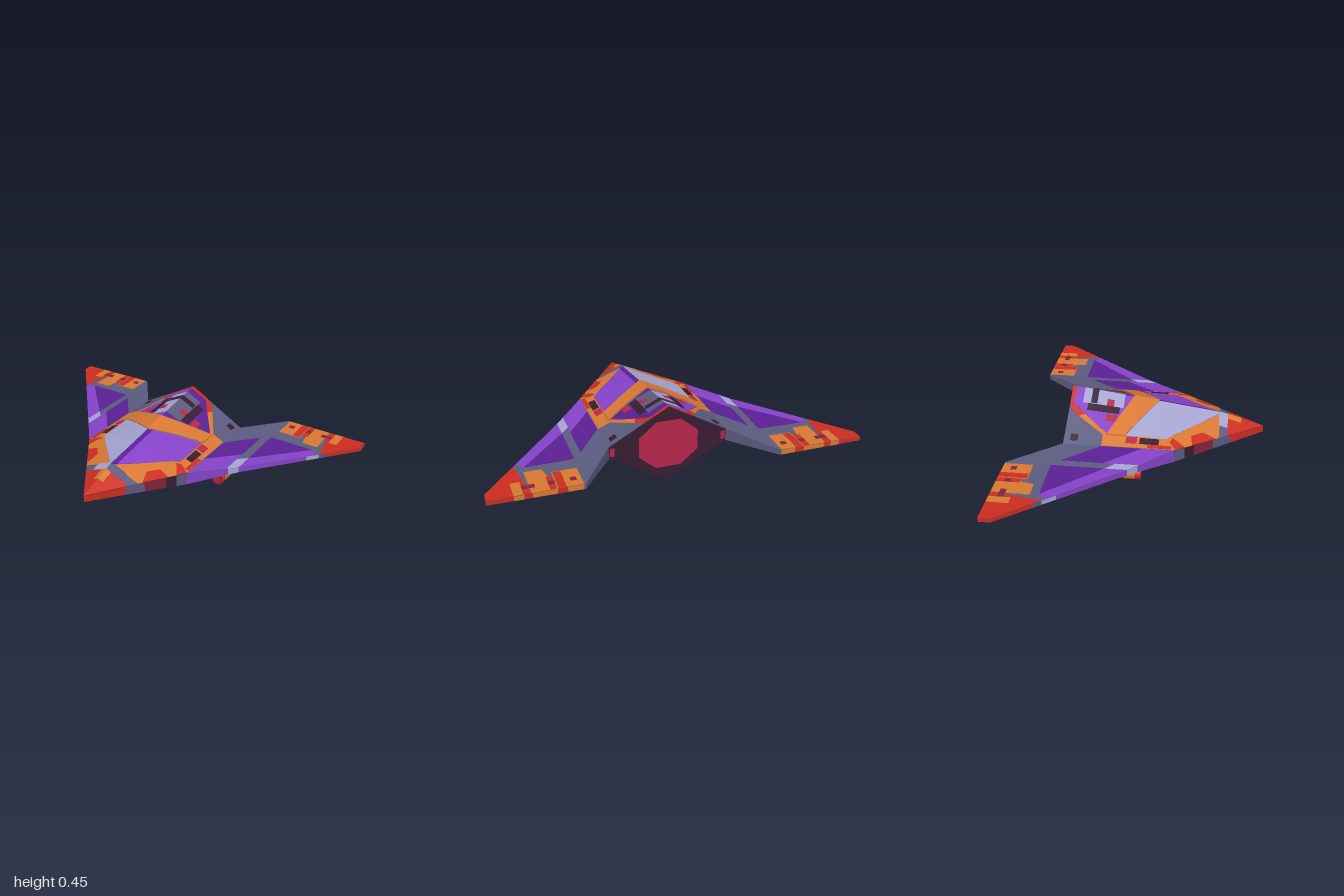
import * as THREE from 'three';

const paint = (name, color) => {
  const m = new THREE.MeshStandardMaterial({ color });
  m.name = name;
  return m;
};
const slate = paint('slate', 0x5b5b7f), violet = paint('violet', 0x8542c8), indigo = paint('indigo', 0x5a2094);
const lavender = paint('lavender', 0xa4a4d0), orange = paint('orange', 0xd87833), red = paint('red', 0xcc2c20);
const plum = paint('plum', 0x371d31), crimson = paint('crimson', 0xb6264a), maroon = paint('maroon', 0x84223c);

const { lerp, clamp } = THREE.MathUtils;

// Hull outline along z: half width, ridge, upper rim, lower rim and keel
const noseT = z => clamp((0.675 - z) / 0.475, 0, 1);
const halfWidth = z => 0.33 * noseT(z);
const ridge = z => (z > 0.44 ? 0.255 + 0.298 * (0.675 - z) : 0.325 + 0.141 * (0.44 - z));
const rimTop = z => lerp(0.255, 0.26, noseT(z));
const rimLow = z => lerp(0.22, 0.19, noseT(z));
const keel = z => 0.22 - 0.2028 * (0.675 - z);

// Wing skins and leading edge along x
const bend = (x, root, kink, tip) => (x < 0.52 ? lerp(root, kink, (x - 0.33) / 0.19) : lerp(kink, tip, (x - 0.52) / 0.48));
const lead = x => [x, 0.2 - (x - 0.33) * 1.224];
const bow = z => [halfWidth(z), z];

const across = (x, z) => clamp(x / Math.max(halfWidth(z), 1e-6), 0, 1);
const topY = (x, z) => (x > 0.33 ? bend(x, 0.26, 0.24, 0.235) : lerp(ridge(z), rimTop(z), across(x, z)));
const lowY = (x, z) => (x > 0.33 ? bend(x, 0.19, 0.21, 0.213) : lerp(keel(z), rimLow(z), across(x, z)));

// Faceted surface from a rule f(i, j) that returns a point
function grid(nu, nv, f, flip) {
  const pos = [];
  for (let i = 0; i < nu; i++) for (let j = 0; j < nv; j++) {
    const a = f(i, j), b = f(i + 1, j), c = f(i + 1, j + 1), d = f(i, j + 1);
    pos.push(...(flip ? [a, c, b, a, d, c] : [a, b, c, a, c, d]).flat());
  }
  const g = new THREE.BufferGeometry();
  g.setAttribute('position', new THREE.Float32BufferAttribute(pos, 3));
  g.computeVertexNormals();
  return g;
}

function add(parent, name, geo, mat) {
  const m = new THREE.Mesh(geo, mat);
  m.name = name;
  parent.add(m);
}

// Thin plate that follows the upper (up = 1) or lower (up = -1) skin between 3 or 4 [x, z] corners
function plate(parent, s, up, name, mat, layer, [A, B, C, D = C]) {
  const n = 8, skin = up > 0 ? topY : lowY;
  const at = (i, j, h) => {
    const [x, z] = [0, 1].map(k => lerp(lerp(A[k], B[k], i / n), lerp(D[k], C[k], i / n), j / n));
    return [s * x, skin(x, z) + up * h, z];
  };
  const turn = (B[1] - A[1]) * (C[0] - A[0]) - (B[0] - A[0]) * (C[1] - A[1]);
  const flip = turn * s * up < 0, thick = layer * 0.002;
  add(parent, name, grid(n, n, (i, j) => at(i, j, thick), flip), mat);
  const corner = k => [[0, 0], [n, 0], [n, n], [0, n]][k % 4];
  add(parent, name + 'Rim', grid(4, 1, (k, j) => at(...corner(k), j * thick), flip), mat);
}

const rect = (x0, x1, z0, z1) => [[x0, z0], [x1, z0], [x1, z1], [x0, z1]];

// Coloured strip on the outer edge, running from a to b
function edgeStrip(parent, s, name, mat, a, b) {
  const dx = b[0] - a[0], dz = b[1] - a[1], k = 0.002 / Math.hypot(dx, dz);
  add(parent, name, grid(4, 1, (i, j) => {
    const x = lerp(a[0], b[0], i / 4), z = lerp(a[1], b[1], i / 4);
    return [s * (x - dz * k), (j ? topY : lowY)(x, z), z + dx * k];
  }, s < 0), mat);
}

// Wing paint, the same above and below
function paintWing(side, s, up) {
  const put = (...args) => plate(side, s, up, ...args);
  put('wingOuterStripe', violet, 0.6, [lead(0.52), lead(0.82), [0.78, -0.435], [0.52, -0.15]]);
  put('wingOuterPanel', indigo, 0.6, [[0.52, -0.435], [0.78, -0.435], [0.52, -0.15]]);
  put('wingBand', lavender, 0.6, [lead(0.475), lead(0.52), [0.52, -0.15], [0.475, -0.1]]);
  put('wingInnerStripe', violet, 0.6, [lead(0.335), lead(0.475), [0.475, -0.16], [0.335, 0.02]]);
  put('wingInnerPanel', indigo, 0.6, [[0.335, 0.02], [0.475, -0.16], [0.475, -0.39], [0.335, -0.2]]);
  put('wingTip', red, 0.6, [[1, -0.68], lead(1), lead(0.83), [0.786, -0.68]]);
  put('wingTipStripe', orange, 1.1, rect(0.825, 0.872, -0.68, -0.565));
  put('wingTipPanel', orange, 0.6, [[0.786, -0.68], [0.66, -0.68], [0.7, -0.48], [0.79, -0.48]]);
  put('wingRearPanel', orange, 0.6, rect(0.53, 0.66, -0.68, -0.525));
  put('wingStripe', red, 1.1, rect(0.615, 0.655, -0.68, -0.53));
  put('wingStripe', red, 1.1, rect(0.665, 0.695, -0.68, -0.56));
  for (const x of [0.57, 0.68, 0.775, 0.81])
    put('wingTick', maroon, 1.6, rect(x - 0.015, x + 0.015, -0.635, -0.605));
}

// Nose, canopy, brow and rear deck; pick gives the left or right colour
function paintTop(side, s) {
  const put = (...args) => plate(side, s, 1, ...args);
  const pick = (left, right) => (s > 0 ? left : right);
  put('noseTip', red, 1, [bow(0.675), bow(0.475), [0, 0.475]]);
  put('noseStripe', orange, 2, rect(0, 0.03, 0.475, 0.55));
  put('noseMark', pick(slate, lavender), 2, rect(0, 0.09, 0.425, 0.475));
  put('cheek', orange, 1, [[0.01, 0.43], bow(0.43), bow(0.203), [0.26, 0.15]]);
  put('cheekPatch', red, 2, [bow(0.41), bow(0.29), [0.21, 0.28], [0.165, 0.34]]);
  put('cheekStripe', red, 2, [bow(0.25), bow(0.205), [0.28, 0.17], [0.25, 0.18]]);

  put('canopy', pick(violet, lavender), 1.5, [[0, 0.44], [0.26, 0.15], [0.26, -0.08], [0, 0.08]]);
  put('canopyTrim', pick(indigo, lavender), 2, [[0, 0.44], [0.025, 0.41], [0.025, 0.06], [0, 0.08]]);
  put('brow', orange, 5, [[0, 0.085], [0.265, -0.08], [0.265, -0.18], [0, -0.055]]);

  put('sidePanel', orange, 1, [[0.26, 0.15], [0.33, 0.2], [0.33, -0.2], [0.26, -0.2]]);
  put('sideVent', plum, 2, rect(0.268, 0.305, 0.005, 0.11));
  put('sideLight', crimson, 2, rect(0.265, 0.305, -0.07, -0.01));
  put('sideStripe', red, 2, rect(0.308, 0.328, 0.05, 0.18));

  put('deck', pick(indigo, violet), 1, [[0, -0.06], [0.255, -0.18], [0.1, -0.39], [0, -0.39]]);
  put('deckPanel', pick(slate, lavender), 2, rect(0, 0.09, -0.34, -0.11));
  put('deckGrille', plum, 2, rect(0.09, 0.13, -0.31, -0.13));
  put('deckBar', plum, 3, rect(0, 0.085, -0.295, -0.26));
  put('deckLight', crimson, 3, rect(0.05, 0.09, -0.205, -0.165));
  put('deckSideLight', crimson, 2, rect(0.14, 0.18, -0.2, -0.14));
  put('deckEdge', orange, 1, [[0.255, -0.18], [0.265, -0.2], [0.17, -0.35], [0.155, -0.315]]);
  put('deckCorner', red, 1, [[0.155, -0.315], [0.17, -0.35], [0.125, -0.41], [0.1, -0.39]]);
  put('deckRear', red, 1, rect(0, 0.1, -0.41, -0.385));
  put('rearVent', plum, 1, rect(0.275, 0.31, -0.375, -0.335));
}

function paintBelly(side, s) {
  const put = (...args) => plate(side, s, -1, ...args);
  put('bellyPanel', indigo, 1, [[0.19, 0.2], [0.328, 0.195], [0.328, -0.15], [0.15, -0.02]]);
  put('bellyMark', maroon, 2, rect(0.1, 0.15, 0.03, 0.11));
  put('bellyLight', maroon, 1, rect(0.17, 0.22, -0.31, -0.25));
  for (const z of [0.5, 0.36, 0.22])
    put('noseSlash', maroon, 1, [[0, z], [0.11, z - 0.05], [0.11, z - 0.09], [0, z - 0.04]]);
  for (const z of [-0.12, -0.19, -0.28]) put('keelSpot', maroon, 1, rect(0.02, 0.09, z - 0.05, z));
}

// Edge colours follow break points along the nose, the leading edge and the tail
function paintEdges(side, s) {
  const run = (name, at, stops, mats) =>
    mats.forEach((mat, i) => edgeStrip(side, s, name, mat, at(stops[i]), at(stops[i + 1])));
  run('noseEdge', bow, [0.675, 0.49, 0.4, 0.3, 0.25, 0.2], [red, slate, maroon, plum, slate]);
  run('leadingEdge', lead, [0.331, 0.48, 0.52, 0.78, 0.83, 0.86, 1], [violet, lavender, violet, lavender, slate, red]);
  run('tipEdge', z => [1, z], [-0.62, -0.68], [red]);
  run('trailingEdge', x => [x, -0.68], [1, 0.87, 0.82, 0.78, 0.66, 0.61, 0.53], [red, orange, red, orange, red, orange]);
}

function polygon(points, z) {
  const g = new THREE.ShapeGeometry(new THREE.Shape(points.map(p => new THREE.Vector2(...p))));
  return g.rotateY(Math.PI).translate(0, 0, z);
}

function engine(s) {
  const pod = new THREE.Group();
  pod.name = 'engine';
  const tube = (name, mat, r, z0, z1) =>
    add(pod, name, new THREE.CylinderGeometry(r, r, z0 - z1, 24).rotateX(Math.PI / 2).translate(0, 0, (z0 + z1) / 2), mat);
  tube('engineLip', red, 0.035, 0.03, 0);
  tube('engineBody', orange, 0.035, 0, -0.06);
  tube('engineCollar', red, 0.035, -0.06, -0.09);
  tube('engineExhaust', slate, 0.027, -0.09, -0.295);
  add(pod, 'engineFace', new THREE.CircleGeometry(0.035, 24).translate(0, 0, 0.032), maroon);
  add(pod, 'engineCore', new THREE.CircleGeometry(0.021, 24).translate(0, 0, 0.034), crimson);
  pod.position.set(s * 0.425, 0.165, 0);
  return pod;
}

export function createModel() {
  const ship = new THREE.Group();
  ship.name = 'spacecraft';

  // Hull skins
  const zs = [0.675], half = 6;
  for (let k = 0; k <= 26; k++) zs.push(0.64 - k * 0.04);
  zs.push(-0.41);
  const n = zs.length - 1;
  const skin = Y => (i, j) => {
    const t = i / half - 1, w = halfWidth(zs[j]);
    return [t * w, Y(Math.abs(t) * w, zs[j]), zs[j]];
  };
  add(ship, 'hullTop', grid(2 * half, n, skin(topY), false), slate);
  add(ship, 'hullBottom', grid(2 * half, n, skin(lowY), true), plum);

  // Rear wall and exhaust plate
  add(ship, 'rearWall', polygon([[0, 0], [0.33, 0.19], [0.33, 0.26], [0, 0.445], [-0.33, 0.26], [-0.33, 0.19]], -0.41), plum);
  const octagon = Array.from({ length: 8 }, (_, k) => (k + 0.5) * Math.PI / 4)
    .map(a => [0.18 * Math.cos(a), 0.226 + 0.15 * Math.sin(a)]);
  add(ship, 'exhaustPlate', polygon(octagon, -0.413), crimson);

  for (const s of [1, -1]) {
    const side = new THREE.Group();
    side.name = s > 0 ? 'leftSide' : 'rightSide';
    ship.add(side);
    add(side, 'hullSide', grid(1, n, (i, j) => [s * halfWidth(zs[j]), (i ? rimTop : rimLow)(zs[j]), zs[j]], s > 0), plum);
    add(side, 'exhaustCorner', polygon(rect(s * 0.3, s * 0.325, s * 0.226 - 0.025, s * 0.226 + 0.025)
      .map(([x, y]) => [x, y + (1 - s) * 0.226]), -0.413), crimson);

    // Wing sections: x, leading z, trailing z, top y, bottom y
    const sec = [[0.33, 0.2, -0.41, 0.26, 0.19], [0.52, -0.0325, -0.68, 0.24, 0.21],
      [1, -0.62, -0.68, 0.235, 0.213], [1, -0.65, -0.65, 0.224, 0.224]];
    const ring = [[1, 3], [2, 3], [2, 4], [1, 4], [1, 3]];
    add(side, 'wing', grid(4, 3, (i, j) => [s * sec[j][0], sec[j][ring[i][1]], sec[j][ring[i][0]]], s > 0), slate);

    paintWing(side, s, 1);
    paintWing(side, s, -1);
    paintTop(side, s);
    paintBelly(side, s);
    paintEdges(side, s);
    side.add(engine(s));
  }
  return ship;
}
